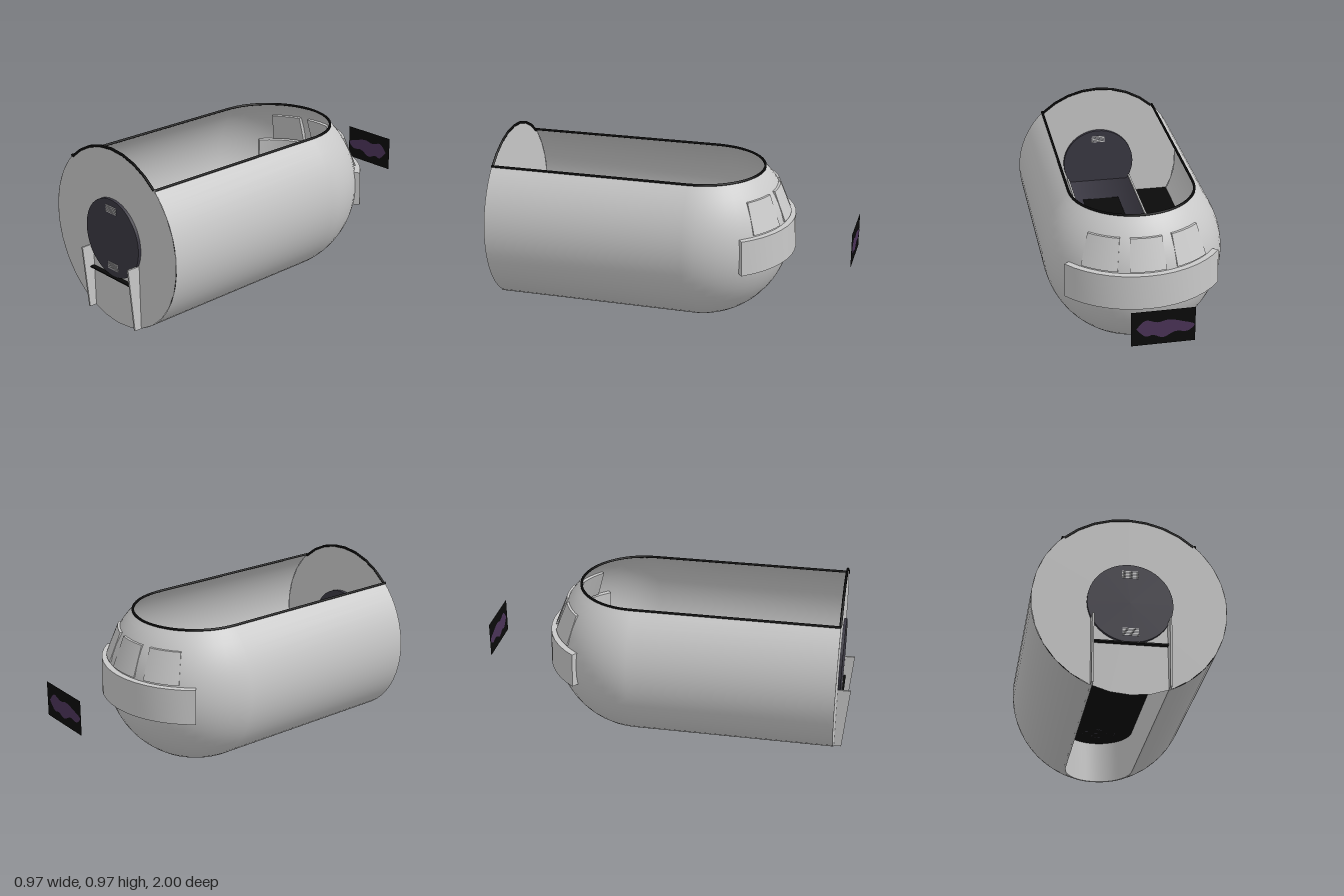
import * as THREE from 'three';
import { mergeGeometries, toCreasedNormals } from 'three/addons/utils/BufferGeometryUtils.js';

const R = 0.485, CY = 0.485, BACK = -0.16, FRONT = 0.93, TOP = 0.84, BOTTOM = 0.04;

const mat = (name, color) => {
  const m = new THREE.MeshStandardMaterial({ color, side: THREE.DoubleSide });
  m.name = name;
  return m;
};

// U-shaped outline seen from above: straight sides with a round back, as [x, z]
function uPoints(w, zFront = FRONT, n = 24) {
  const pts = [[w, zFront]];
  for (let i = 0; i <= n; i++) {
    const a = Math.PI * i / n;
    pts.push([w * Math.cos(a), BACK - w * Math.sin(a)]);
  }
  pts.push([-w, zFront]);
  return pts;
}

// Skin between stacked outlines; each row is { y, pts }
function loft(rows, closed = false) {
  const pos = [], idx = [], n = rows[0].pts.length;
  for (const { y, pts } of rows) for (const [x, z] of pts) pos.push(x, y, z);
  for (let i = 0; i < rows.length - 1; i++) {
    for (let j = 0; j < (closed ? n : n - 1); j++) {
      const k = (j + 1) % n, a = i * n + j, b = i * n + k;
      idx.push(a, b, b + n, a, b + n, a + n);
    }
  }
  const g = new THREE.BufferGeometry();
  g.setAttribute('position', new THREE.Float32BufferAttribute(pos, 3));
  g.setIndex(idx);
  g.computeVertexNormals();
  return g;
}

const toShape = pts => new THREE.Shape(pts.map(([x, z]) => new THREE.Vector2(x, -z)));

// Curved slab wrapped round the back, with closed ends
function arcPanel(from, to, y0, y1, r0, r1, thick) {
  const p = [[r0, y0], [r1, y1], [r1 - thick, y1], [r0 - thick, y0]].map(q => new THREE.Vector2(...q));
  const start = Math.PI + from;
  const parts = [toCreasedNormals(new THREE.LatheGeometry([...p, p[0]], 14, start, to - from), 0.6)];
  for (const phi of [start, Math.PI + to]) {
    parts.push(new THREE.ShapeGeometry(new THREE.Shape(p)).toNonIndexed().rotateY(phi - Math.PI / 2));
  }
  return mergeGeometries(parts).translate(0, 0, BACK);
}

export function createModel() {
  const model = new THREE.Group();
  const grey = mat('hull grey', 0xc8c8c8);
  const dark = mat('dark grey', 0x3a3842);
  const black = mat('black', 0x0a0a0a);
  const purple = mat('purple', 0x4b3358);
  const add = (name, geo, material, x = 0, y = 0, z = 0) => {
    const m = new THREE.Mesh(geo, material);
    m.name = name;
    m.position.set(x, y, z);
    model.add(m);
    return m;
  };

  // Round hull, cut level at the top and the bottom
  const angles = [Math.asin((BOTTOM - CY) / R)];
  for (let d = -60; d <= 42; d += 6) angles.push(d * Math.PI / 180);
  angles.push(Math.asin((TOP - CY) / R));
  add('hull', loft(angles.map(a => ({ y: CY + R * Math.sin(a), pts: uPoints(R * Math.cos(a)) }))), grey);
  add('frontWall', new THREE.CircleGeometry(R, 30).rotateZ(Math.PI / 30), grey, 0, CY, FRONT);

  // Black trim round the roof opening and over the front wall
  const rimW = Math.sqrt(R * R - (TOP - CY) ** 2);
  const tube = pts => {
    const path = new THREE.CurvePath();
    for (let i = 1; i < pts.length; i++) path.add(new THREE.LineCurve3(pts[i - 1], pts[i]));
    return new THREE.TubeGeometry(path, 90, 0.007, 6);
  };
  add('roofRim', tube(uPoints(rimW + 0.004).map(([x, z]) => new THREE.Vector3(x, TOP, z))), black);
  const arc = [], a0 = Math.asin((TOP - CY) / R);
  for (let i = 0; i <= 8; i++) {
    const a = a0 + (Math.PI - 2 * a0) * i / 8;
    arc.push(new THREE.Vector3(Math.cos(a) * (R - 0.005), CY + Math.sin(a) * (R - 0.005), FRONT - 0.003));
  }
  add('frontRim', tube(arc), black);

  // Floor and the step that shows through the front wall
  add('floor', new THREE.ShapeGeometry(toShape(uPoints(0.43))).rotateX(-Math.PI / 2), black, 0, 0.27, 0);
  add('step', new THREE.BoxGeometry(0.38, 0.006, 0.03), black, 0, 0.268, FRONT + 0.012);

  // Thin U-shaped wall round the bottom opening; its ends lean out at the front
  const ring = toShape([...uPoints(0.194), ...uPoints(0.184).reverse()]);
  const wall = new THREE.ExtrudeGeometry(ring, { depth: 0.35, bevelEnabled: false, steps: 1 });
  wall.rotateX(-Math.PI / 2).translate(0, BOTTOM, 0);
  const p = wall.attributes.position;
  for (let i = 0; i < p.count; i++) {
    if (p.getZ(i) > 0.9) p.setZ(i, 0.97 + 0.03 * (p.getY(i) - BOTTOM) / 0.35);
  }
  add('wellWall', toCreasedNormals(wall, 0.6), grey);

  // Dark sloping lining inside the well
  add('wellLining', loft([
    { y: 0.275, pts: uPoints(0.11, 0.84) },
    { y: 0.31, pts: uPoints(0.135, 0.87) },
    { y: 0.38, pts: uPoints(0.184, 0.92) },
  ], true), dark);

  // Small round controls at the back of the well
  for (const [x, z, r] of [[0, -0.22, 0.037], [0.07, -0.19, 0.025], [-0.07, -0.19, 0.025], [0, -0.14, 0.015]]) {
    add('control', new THREE.CylinderGeometry(r, r, 0.03, 16), dark, x, 0.285, z);
    add('controlFace', new THREE.CylinderGeometry(r * 0.85, r * 0.85, 0.004, 16), black, x, 0.301, z);
  }

  // Round door with slatted vents on both faces
  add('door', new THREE.CylinderGeometry(0.213, 0.213, 0.035, 48).rotateX(Math.PI / 2), dark, 0, CY, 0.928);
  for (const y of [0.643, 0.328]) {
    for (let i = -2; i <= 2; i++) {
      for (const z of [0.946, 0.91]) {
        add('ventSlat', new THREE.BoxGeometry(0.082, 0.005, 0.003), grey, 0, y + i * 0.0085, z);
      }
    }
  }

  // Back visor band and the three window panels above it
  add('visor', arcPanel(-0.93, 0.93, 0.39, 0.58, 0.513, 0.508, 0.06), grey);
  for (const [from, to] of [[-0.75, -0.33], [-0.2, 0.2], [0.33, 0.75]]) {
    add('windowPanel', arcPanel(from, to, 0.59, 0.75, 0.482, 0.418, 0.035), grey);
  }

  // Upright sign behind the back with a purple patch on both faces
  add('sign', new THREE.PlaneGeometry(0.32, 0.19), black, 0, CY, -0.998);
  const blob = new THREE.SplineCurve([
    [0.135, 0], [0.09, 0.045], [0.03, 0.03], [-0.03, 0.04], [-0.1, 0.022], [-0.155, 0],
    [-0.12, -0.035], [-0.06, -0.03], [0, -0.058], [0.05, -0.04], [0.09, -0.045], [0.135, 0],
  ].map(q => new THREE.Vector2(...q)));
  const patch = new THREE.ShapeGeometry(new THREE.Shape(blob.getPoints(44)));
  add('signPatchFront', patch, purple, 0, CY, -0.996);
  add('signPatchBack', patch, purple, 0, CY, -1);

  return model;
}
